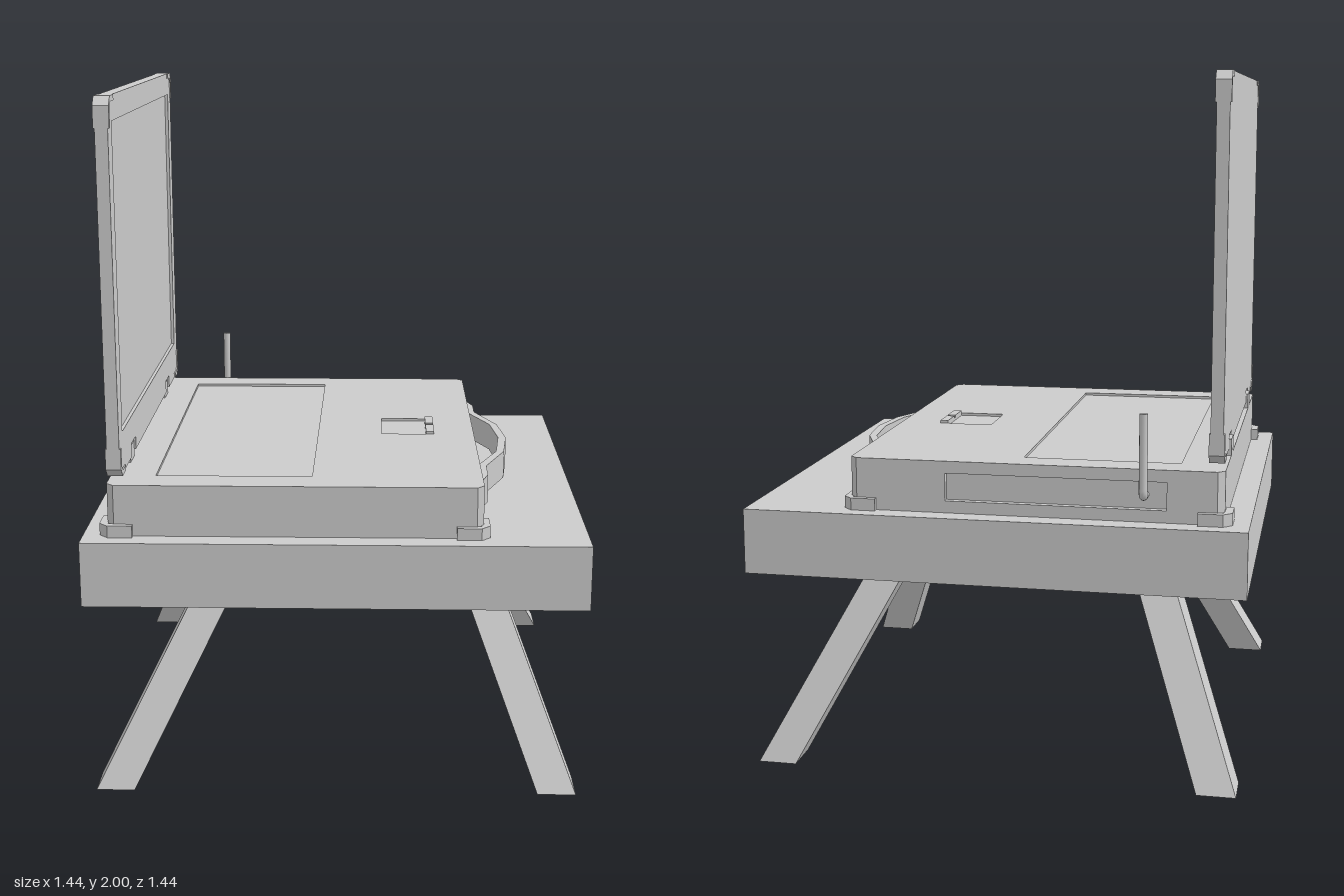
import * as THREE from 'three';

const mat = new THREE.MeshStandardMaterial({ color: 0xcccccc, flatShading: true });
const smoothMat = new THREE.MeshStandardMaterial({ color: 0xcccccc });

function add(parent, name, geo, m = mat) {
  const mesh = new THREE.Mesh(geo, m);
  mesh.name = name;
  parent.add(mesh);
  return mesh;
}
const poly = (pts) => new THREE.Shape(pts.map((p) => new THREE.Vector2(p[0], p[1])));
const rect = (x0, x1, y0, y1) => poly([[x0, y0], [x1, y0], [x1, y1], [x0, y1]]);

// Box given by its limits
function box(parent, name, x0, x1, y0, y1, z0, z1) {
  const mesh = add(parent, name, new THREE.BoxGeometry(x1 - x0, y1 - y0, z1 - z0));
  mesh.position.set((x0 + x1) / 2, (y0 + y1) / 2, (z0 + z1) / 2);
  return mesh;
}
// Plan outline (x, -z) extruded upwards from y0 to y1
function slab(parent, name, shape, y0, y1) {
  const geo = new THREE.ExtrudeGeometry(shape, { depth: y1 - y0, bevelEnabled: false });
  geo.rotateX(-Math.PI / 2).translate(0, y0, 0);
  return add(parent, name, geo);
}
// Side outline (z, y) extruded between x0 and x1
function upright(parent, name, shape, x0, x1) {
  const geo = new THREE.ExtrudeGeometry(shape, { depth: x1 - x0, bevelEnabled: false });
  geo.rotateY(-Math.PI / 2).translate(x1, 0, 0);
  return add(parent, name, geo);
}

function makeTable() {
  const table = new THREE.Group();
  table.name = 'table';
  box(table, 'tableTop', -0.72, 0.72, 0.58, 0.77, -0.72, 0.72);
  // Splayed legs: square at the floor, sheared inwards, repeated by quarter turns
  for (let i = 0; i < 4; i++) {
    const geo = new THREE.BoxGeometry(0.112, 0.58, 0.112);
    const p = geo.attributes.position;
    for (let k = 0; k < p.count; k++) {
      const top = p.getY(k) > 0;
      p.setX(k, p.getX(k) + (top ? 0.415 : 0.645));
      p.setZ(k, p.getZ(k) + (top ? 0.345 : 0.645));
    }
    geo.translate(0, 0.29, 0);
    add(table, 'tableLeg', geo).rotation.y = (i * Math.PI) / 2;
  }
  return table;
}

function makeBase() {
  const base = new THREE.Group();
  base.name = 'computerBase';
  const L = -0.65, R = 0.42, Z = 0.655, c = 0.02;
  // Footprint with chamfered corners; a notch along the back side makes the port bay
  const outline = (notch) => poly([
    [L + c, -Z], [R - c, -Z], [R, -Z + c], [R, Z - c], [R - c, Z],
    ...(notch ? [[0.14, Z], [0.14, Z - 0.02], [-0.49, Z - 0.02], [-0.49, Z]] : []),
    [L + c, Z], [L, Z - c], [L, -Z + c],
  ]);
  slab(base, 'lowerShell', outline(false), 0.77, 0.805);
  slab(base, 'portBayShell', outline(true), 0.805, 0.885);
  slab(base, 'upperShell', outline(false), 0.885, 0.912);
  const deck = outline(false);
  deck.holes.push(rect(-0.52, -0.07, -0.555, 0.56));
  deck.holes.push(rect(0.13, 0.27, -0.09, 0.095));
  slab(base, 'deckWithRecesses', deck, 0.912, 0.92);

  // Pointing buttons
  for (const z of [-0.052, 0.047]) {
    box(base, 'button', 0.27, 0.295, 0.915, 0.928, z - 0.042, z + 0.042);
  }

  // Corner feet wrapping the base
  for (const sz of [-1, 1]) for (const [x, sx] of [[-0.672, -1], [0.438, 1]]) {
    const pts = [[0, 0.025], [0.025, 0], [0.095, 0], [0.095, 0.018], [0.018, 0.095], [0, 0.095]]
      .map(([a, b]) => [x - sx * a, sz * (0.672 - b)]);
    pts.splice(3, 2, [x - sx * 0.095, sz * 0.65], [x - sx * 0.025, sz * 0.65],
      [x - sx * 0.025, sz * 0.577]);
    slab(base, 'cornerFoot', poly(pts), 0.77, 0.805);
  }

  // Carrying handle
  const half = [[0.42, 0.485], [0.445, 0.41], [0.445, 0.32], [0.51, 0.16]];
  const inner = [[0.42, 0.315], [0.486, 0.16]];
  const flip = (a) => a.map(([x, z]) => [x, -z]);
  const handle = poly([
    ...half, [0.528, 0], ...flip(half).reverse(),
    ...flip(inner), [0.503, 0], ...inner.slice().reverse(),
  ]);
  slab(base, 'carryHandle', handle, 0.8, 0.885);

  // Antenna: stub from the port bay, bent upwards
  const path = new THREE.CurvePath();
  const v = (y, z) => new THREE.Vector3(-0.427, y, z);
  path.add(new THREE.LineCurve3(v(0.845, -0.63), v(0.845, -0.66)));
  path.add(new THREE.QuadraticBezierCurve3(v(0.845, -0.66), v(0.845, -0.679), v(0.865, -0.679)));
  path.add(new THREE.LineCurve3(v(0.865, -0.679), v(1.08, -0.679)));
  add(base, 'antenna', new THREE.TubeGeometry(path, 40, 0.012, 12), smoothMat);
  const cap = add(base, 'antennaTip', new THREE.CircleGeometry(0.012, 12));
  cap.rotation.x = -Math.PI / 2;
  cap.position.set(-0.427, 1.08, -0.679);
  return base;
}

function makeScreen() {
  const screen = new THREE.Group();
  screen.name = 'screen';
  const Z = 0.655, y0 = 0.94, y1 = 2, c = 0.025;
  // Outline with a notch for each hinge
  const notch = (z) => [[z - 0.04, y0], [z - 0.04, 0.98], [z + 0.04, 0.98], [z + 0.04, y0]];
  const outline = () => poly([
    [-Z + c, y0], ...notch(-0.39), ...notch(0.39), [Z - c, y0], [Z, y0 + c],
    [Z, y1 - c], [Z - c, y1], [-Z + c, y1], [-Z, y1 - c], [-Z, y0 + c],
  ]);
  upright(screen, 'lid', outline(), -0.643, -0.617);
  const bezel = outline();
  bezel.holes.push(rect(-0.59, 0.59, 1.06, 1.93));
  upright(screen, 'displayBezel', bezel, -0.617, -0.607);

  // Corner bumpers
  for (const sz of [-1, 1]) for (const [y, sy] of [[y0, -1], [y1, 1]]) {
    const pts = [[0, c], [c, 0], [0.085, 0], [0.085, 0.016], [0.032, 0.016],
      [0.016, 0.032], [0.016, 0.085], [0, 0.085]];
    const shape = poly(pts.map(([a, b]) => [sz * (Z - a), y - sy * b]));
    upright(screen, 'cornerBumper', shape, -0.647, -0.603);
  }
  // Hinges
  for (const z of [-0.39, 0.39]) {
    box(screen, 'hinge', -0.65, -0.612, 0.91, 0.968, z - 0.036, z + 0.036);
  }
  return screen;
}

export function createModel() {
  const model = new THREE.Group();
  model.name = 'portableComputerOnTable';
  model.add(makeTable(), makeBase(), makeScreen());
  return model;
}
